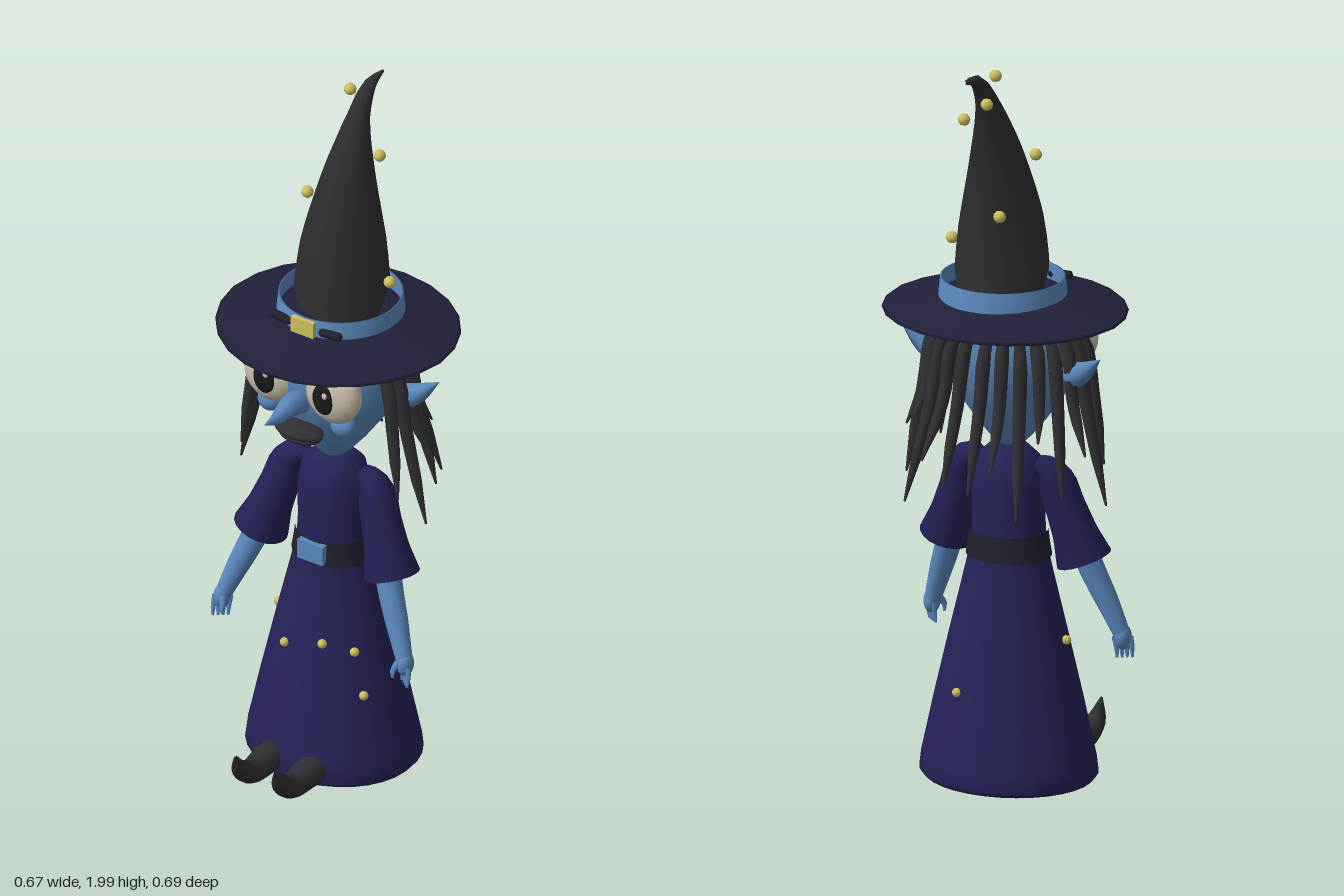
import * as THREE from 'three';

const mat = (name, color, side = THREE.FrontSide) => {
  const m = new THREE.MeshStandardMaterial({ color, side });
  m.name = name;
  return m;
};

export function createModel() {
  const root = new THREE.Group();
  root.name = 'witch';
  const skin = mat('blue skin', 0x5a88bc, THREE.DoubleSide);
  const robeMat = mat('navy robe', 0x252258, THREE.DoubleSide);
  const brimMat = mat('dark navy brim', 0x20203a);
  const black = mat('charcoal', 0x303033);
  const beltMat = mat('belt', 0x20202c);
  const gold = mat('gold', 0xcdbf60);
  const ivory = mat('ivory eye', 0xccc3ae);
  const pupilMat = mat('pupil', 0x1a1a1c);

  const add = (name, geo, material, pos = [0, 0, 0], scale = [1, 1, 1], parent = root) => {
    const m = new THREE.Mesh(geo, material);
    m.name = name;
    m.position.set(...pos);
    m.scale.set(...scale);
    parent.add(m);
    return m;
  };
  const lathe = (pts, seg) => new THREE.LatheGeometry(pts.map(p => new THREE.Vector2(...p)), seg);
  const ball = new THREE.SphereGeometry(1, 20, 14);

  // Tube along a smooth path whose radius follows evenly spaced values
  const taper = (pts, radii, sides = 8, seg = 14) => {
    const curve = new THREE.CatmullRomCurve3(pts.map(p => new THREE.Vector3(...p)));
    const geo = new THREE.TubeGeometry(curve, seg, 1, sides);
    const pos = geo.attributes.position, v = new THREE.Vector3();
    for (let i = 0; i < pos.count; i++) {
      const u = Math.floor(i / (sides + 1)) / seg;
      const f = u * (radii.length - 1), k = Math.min(Math.floor(f), radii.length - 2);
      const r = THREE.MathUtils.lerp(radii[k], radii[k + 1], f - k);
      const c = curve.getPointAt(u);
      v.fromBufferAttribute(pos, i).sub(c).multiplyScalar(r).add(c);
      pos.setXYZ(i, v.x, v.y, v.z);
    }
    return geo;
  };

  // Robe, closed underneath
  add('robe', lathe([[0, 0.03], [0.232, 0.005], [0.245, 0.02], [0.24, 0.06], [0.205, 0.22], [0.163, 0.4],
    [0.122, 0.57], [0.104, 0.65], [0.1, 0.72], [0.102, 0.82], [0.088, 0.89], [0.05, 0.925], [0, 0.93]], 32),
  robeMat, [0, 0, -0.018], [1, 1, 0.89]);
  add('belt', lathe([[0.117, 0.62], [0.111, 0.655], [0.107, 0.69]], 32), beltMat, [0, 0, -0.018], [1, 1, 0.92]);
  add('beltBuckle', new THREE.BoxGeometry(0.082, 0.056, 0.02), skin, [0, 0.658, 0.085]);

  // Gold studs on the robe
  const stud = new THREE.IcosahedronGeometry(1, 1);
  [[-0.06, 0.375, 0.125], [0.06, 0.41, 0.122], [0.135, 0.39, 0.08], [0.165, 0.265, 0.08],
    [-0.168, 0.4, 0], [0.06, 0.265, -0.183]].forEach(p => add('robeStud', stud, gold, p, [0.013, 0.013, 0.013]));

  // Head and face
  add('head', lathe([[0, 0.905], [0.02, 0.912], [0.06, 0.95], [0.102, 1.0], [0.152, 1.07], [0.188, 1.14],
    [0.2, 1.21], [0.19, 1.28], [0.15, 1.33], [0, 1.345]], 32), skin, [0, 0, -0.01], [1, 1, 0.83]);
  add('nose', taper([[0, 1.145, 0.11], [0, 1.16, 0.18], [0, 1.15, 0.25], [0, 1.157, 0.298]],
    [0.036, 0.033, 0.02, 0.002], 12), skin);
  add('upperLip', ball, black, [0, 1.064, 0.142], [0.074, 0.019, 0.044]);
  add('lowerLip', ball, black, [0, 1.047, 0.136], [0.064, 0.018, 0.042]);

  for (const s of [-1, 1]) {
    const side = new THREE.Group();
    side.name = s > 0 ? 'leftSide' : 'rightSide';
    root.add(side);
    const put = (name, geo, m, pos, scale) => add(name, geo, m, pos, scale, side);
    // Mirrored path
    const path = (pts) => pts.map(([x, y, z]) => [s * x, y, z]);

    put('eye', ball, ivory, [s * 0.1, 1.207, 0.125], [0.085, 0.09, 0.05]);
    put('pupil', ball, pupilMat, [s * 0.096, 1.205, 0.168], [0.034, 0.046, 0.012]);
    put('eyeGlint', ball, ivory, [s * 0.096 + 0.01, 1.222, 0.177], [0.008, 0.01, 0.005]);
    put('cheek', ball, skin, [s * 0.118, 1.103, 0.108], [0.036, 0.034, 0.03]);
    put('ear', taper(path([[0.165, 1.15, -0.04], [0.235, 1.165, -0.045], [0.31, 1.22, -0.06]]),
      [0.03, 0.038, 0.022, 0.001]), skin);

    // Sleeve and arm
    put('sleeve', taper(path([[0.09, 0.885, -0.02], [0.13, 0.865, -0.015], [0.165, 0.77, 0], [0.212, 0.628, 0.018]]),
      [0.025, 0.052, 0.054, 0.06, 0.076], 18), robeMat);
    put('forearm', taper(path([[0.185, 0.74, 0.01], [0.215, 0.62, 0.035], [0.262, 0.5, 0.06], [0.293, 0.42, 0.075]]),
      [0.036, 0.036, 0.032, 0.023], 12), skin);
    put('palm', ball, skin, [s * 0.297, 0.41, 0.076], [0.022, 0.035, 0.026]);
    for (let i = 0; i < 4; i++) {
      const x = 0.28 + i * 0.011, z = 0.062 + i * 0.008;
      put('finger', taper(path([[x, 0.41, z], [x + 0.003, 0.38, z + 0.004], [x + 0.002, 0.352, z + 0.008]]),
        [0.009, 0.008, 0.004], 6, 5), skin);
    }
    put('thumb', taper(path([[0.285, 0.42, 0.09], [0.277, 0.395, 0.105], [0.277, 0.375, 0.106]]),
      [0.01, 0.009, 0.004], 6, 5), skin);

    // Shoe with curled toe
    put('shoe', taper(path([[0.065, 0.048, 0.1], [0.065, 0.048, 0.2], [0.065, 0.045, 0.27],
      [0.065, 0.075, 0.318], [0.065, 0.128, 0.343]]), [0.04, 0.044, 0.04, 0.034, 0.026, 0.003], 14, 18), black);

    // Hair strands from temple to nape
    const tips = [0.89, 0.8, 0.95, 0.84, 1.0, 0.8, 0.93, 0.86];
    tips.forEach((tipY, i) => {
      const a = -0.22 + i * 0.235, c = Math.cos(a), d = -Math.sin(a);
      const reach = 0.26 + 0.04 * ((i * 3) % 4) / 3;
      put('hairStrand', taper(path([[0.165 * c, 1.3, 0.14 * d - 0.01], [0.212 * c, 1.22, 0.185 * d - 0.01],
        [0.235 * c, 1.08, 0.215 * d - 0.01], [reach * c, tipY, (reach + 0.01) * d - 0.01]]),
      [0.012, 0.02, 0.018, 0.015, 0.003], 7, 12), black);
    });

    // Bow loops beside the hat buckle
    const bow = put('hatBow', new THREE.CapsuleGeometry(0.012, 0.05, 4, 8), beltMat, [s * 0.08, 1.372, 0.112]);
    bow.rotation.z = Math.PI / 2 + s * 0.08;
  }

  // Hat brim: drooping disc, a little narrower at the front
  const brim = lathe([[0, 1.305], [0.2, 1.302], [0.325, 1.298], [0.336, 1.304], [0.328, 1.311], [0.25, 1.328],
    [0.18, 1.352], [0.1, 1.36], [0, 1.36]], 24);
  const bp = brim.attributes.position;
  for (let i = 0; i < bp.count; i++) {
    const z = bp.getZ(i);
    bp.setX(i, bp.getX(i) * (1 - 0.16 * Math.max(0, z)));
    bp.setZ(i, z * 0.94 - 0.03 - 0.1 * (0.336 ** 2 - bp.getX(i) ** 2 - z * z) * 0.2);
  }
  brim.computeVertexNormals();
  add('hatBrim', brim, brimMat);
  add('hatBand', lathe([[0.172, 1.345], [0.166, 1.4], [0.161, 1.4], [0.163, 1.345]], 40), skin, [0, 0, -0.048]);

  // Bent eight-sided crown
  add('hatCrown', taper([[0, 1.35, -0.053], [0, 1.45, -0.053], [0, 1.6, -0.062], [0, 1.78, -0.09],
    [0, 1.91, -0.132], [0, 1.975, -0.18], [0, 1.988, -0.24]],
  [0.113, 0.13, 0.124, 0.115, 0.1, 0.083, 0.066, 0.047, 0.03, 0.02, 0.004], 8, 24), black);
  add('hatBuckle', new THREE.BoxGeometry(0.072, 0.046, 0.014), gold, [0, 1.375, 0.124]);

  // Gold studs on the hat
  [[-0.025, 1.98, -0.125], [0.092, 1.83, -0.095], [-0.057, 1.725, 0.025], [0.155, 1.48, -0.053],
    [-0.038, 1.92, -0.19], [-0.07, 1.61, -0.178]].forEach(p => add('hatStud', stud, gold, p, [0.017, 0.017, 0.017]));

  return root;
}
